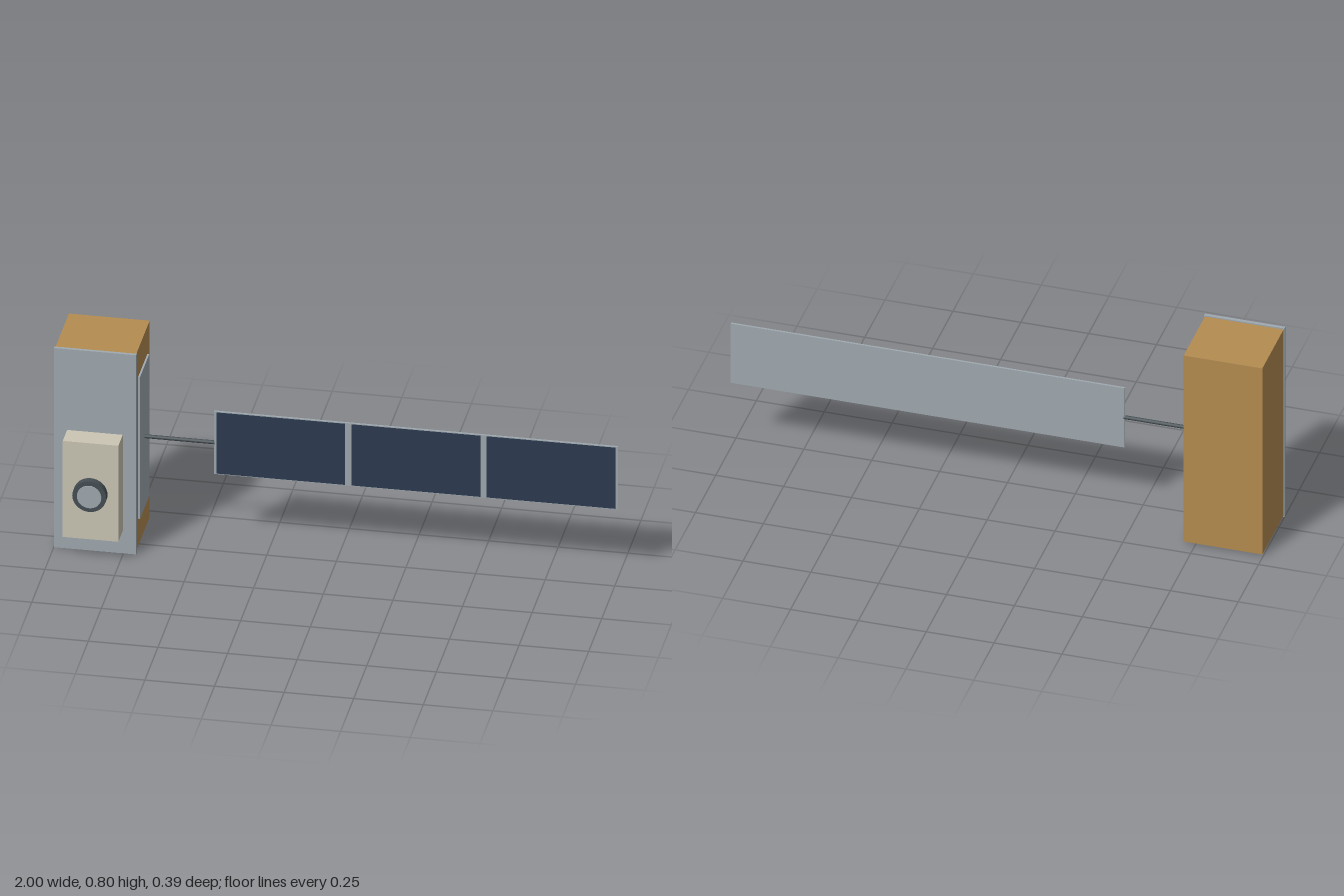
import * as THREE from 'three';

export function createModel() {
  const model = new THREE.Group();
  const mat = (name, color) => {
    const m = new THREE.MeshStandardMaterial({ color });
    m.name = name;
    return m;
  };
  const gold = mat('goldFoil', 0xb48c50);
  const grey = mat('aluminium', 0x9fa9af);
  const cream = mat('creamHousing', 0xcac5b4);
  const dark = mat('darkMetal', 0x454f54);
  const navy = mat('solarCell', 0x2c3a50);

  const add = (name, geometry, material) => {
    const mesh = new THREE.Mesh(geometry, material);
    mesh.name = name;
    model.add(mesh);
    return mesh;
  };
  // Box given by its extents on each axis
  const box = (name, material, [x0, x1], [y0, y1], [z0, z1]) =>
    add(name, new THREE.BoxGeometry(x1 - x0, y1 - y0, z1 - z0), material)
      .position.set((x0 + x1) / 2, (y0 + y1) / 2, (z0 + z1) / 2);
  // Cylinder along z
  const disc = (name, material, r, x, y, z0, z1) => {
    const mesh = add(name, new THREE.CylinderGeometry(r, r, z1 - z0, 32), material);
    mesh.rotation.x = Math.PI / 2;
    mesh.position.set(x, y, (z0 + z1) / 2);
  };

  // Body with front plate and side radiator
  box('body', gold, [-0.997, -0.707], [0.006, 0.792], [-0.193, 0.068]);
  box('frontPlate', grey, [-1, -0.704], [0, 0.797], [0.068, 0.08]);
  box('sideRadiator', grey, [-0.707, -0.7], [0.115, 0.682], [-0.15, 0.027]);

  // Instrument box and lens
  box('instrumentBox', cream, [-0.952, -0.752], [0.09, 0.474], [0.08, 0.164]);
  disc('lensBarrel', dark, 0.061, -0.852, 0.274, 0.164, 0.19);
  disc('lensGlass', grey, 0.044, -0.852, 0.274, 0.19, 0.194);

  // Boom carrying the solar wing
  const boom = add('boom', new THREE.CylinderGeometry(0.007, 0.007, 0.256, 12), dark);
  boom.rotation.z = Math.PI / 2;
  boom.position.set(-0.576, 0.4, -0.061);

  // Solar wing with three cells on the front
  box('wingPanel', grey, [-0.451, 1], [0.275, 0.525], [-0.066, -0.058]);
  for (let i = 0; i < 3; i++) {
    const x = -0.442 + i * 0.485;
    box('solarCell' + (i + 1), navy, [x, x + 0.463], [0.278, 0.522], [-0.058, -0.0565]);
  }
  return model;
}
